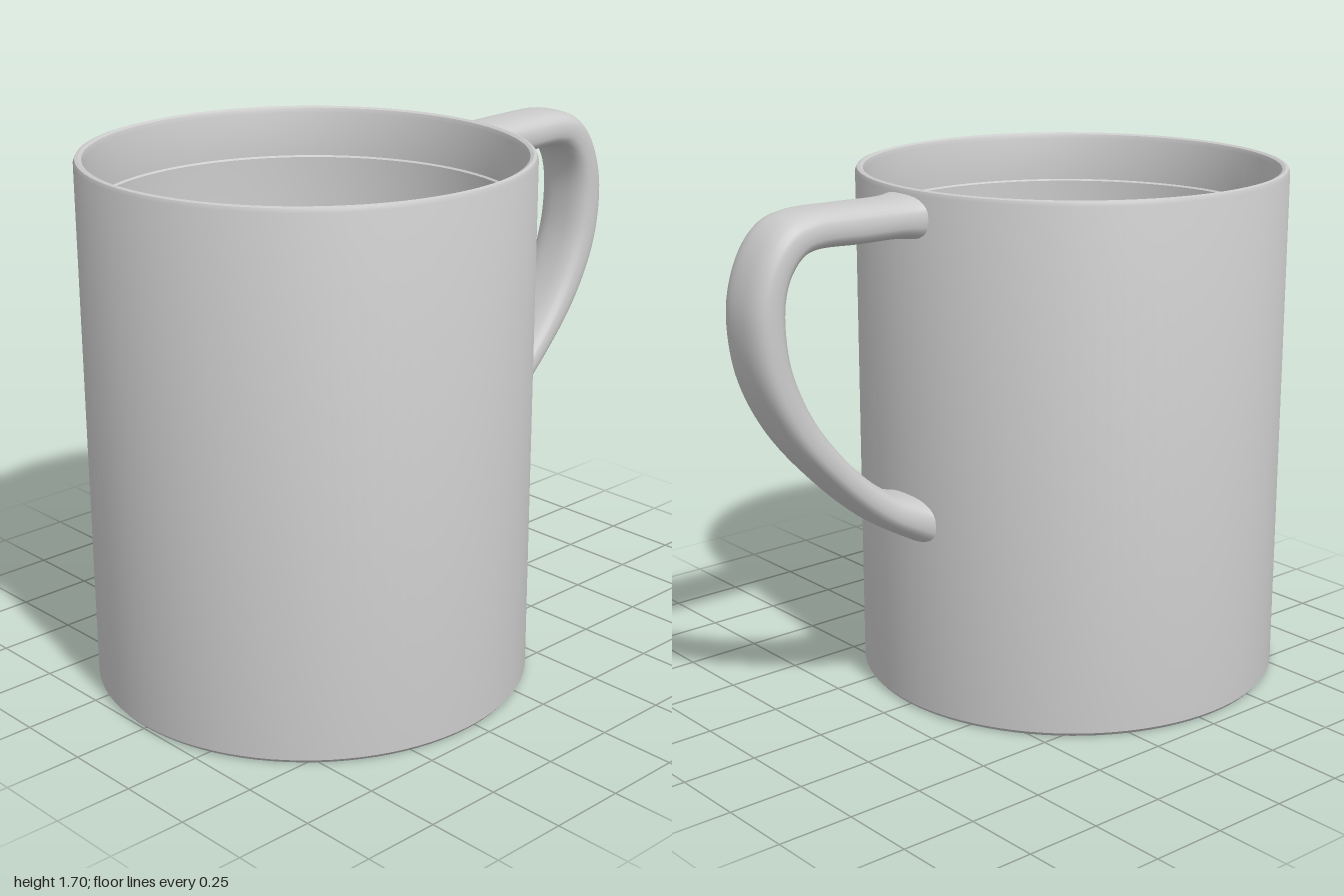
import * as THREE from 'three';
import { toCreasedNormals } from 'three/addons/utils/BufferGeometryUtils.js';

const material = new THREE.MeshStandardMaterial({ color: 0xcccccc });
const v2 = ([x, y]) => new THREE.Vector2(x, y);

// Hollow cup: closed profile from the base centre, over the rim, down to the inner floor
function createCup() {
  const profile = [
    [0, 0], [0.69, 0], [0.70, 0.012], [0.70, 1.685], [0.695, 1.697], [0.685, 1.70],
    [0.675, 1.695], [0.67, 1.68], [0.67, 1.535], [0.663, 1.53], [0.663, 0.09],
    [0.65, 0.06], [0.62, 0.05], [0, 0.05],
  ].map(v2);
  const cup = new THREE.Mesh(toCreasedNormals(new THREE.LatheGeometry(profile, 96), 0.6), material);
  cup.name = 'cup';
  cup.position.x = -0.3;
  return cup;
}

// Handle: rounded sections spanning an outer and an inner curve, flared where they meet the cup
function createHandle() {
  const outer = new THREE.SplineCurve([
    [0.375, 1.685], [0.46, 1.675], [0.62, 1.678], [0.80, 1.675], [0.90, 1.63], [0.97, 1.52],
    [1.0, 1.37], [0.97, 1.18], [0.87, 0.99], [0.71, 0.81], [0.55, 0.67], [0.375, 0.565],
  ].map(v2));
  const inner = new THREE.SplineCurve([
    [0.375, 1.54], [0.46, 1.553], [0.60, 1.555], [0.74, 1.56], [0.81, 1.54], [0.86, 1.47],
    [0.873, 1.36], [0.85, 1.21], [0.77, 1.04], [0.63, 0.87], [0.49, 0.76], [0.375, 0.72],
  ].map(v2));
  const steps = 72, sides = 28;
  const round = (c) => Math.sign(c) * Math.abs(c) ** 0.75;
  const positions = [], indices = [];

  for (let i = 0; i <= steps; i++) {
    const t = i / steps;
    const a = outer.getPoint(t), b = inner.getPoint(t);
    const mid = a.clone().add(b).multiplyScalar(0.5);
    const half = a.clone().sub(b).multiplyScalar(0.5);
    const width = 0.105 + 0.03 * Math.exp(-t * 30) + 0.04 * Math.exp((t - 1) * 18);
    for (let j = 0; j < sides; j++) {
      const angle = (j / sides) * Math.PI * 2;
      const c = round(Math.cos(angle)), s = round(Math.sin(angle));
      positions.push(mid.x + half.x * c, mid.y + half.y * c, width * s);
      if (i === steps) continue;
      const p = i * sides + j, q = i * sides + (j + 1) % sides;
      indices.push(p, q, p + sides, q, q + sides, p + sides);
    }
  }
  const geometry = new THREE.BufferGeometry();
  geometry.setAttribute('position', new THREE.Float32BufferAttribute(positions, 3));
  geometry.setIndex(indices);
  geometry.computeVertexNormals();
  const handle = new THREE.Mesh(geometry, material);
  handle.name = 'handle';
  return handle;
}

export function createModel() {
  const mug = new THREE.Group();
  mug.name = 'mug';
  mug.add(createCup(), createHandle());
  return mug;
}
